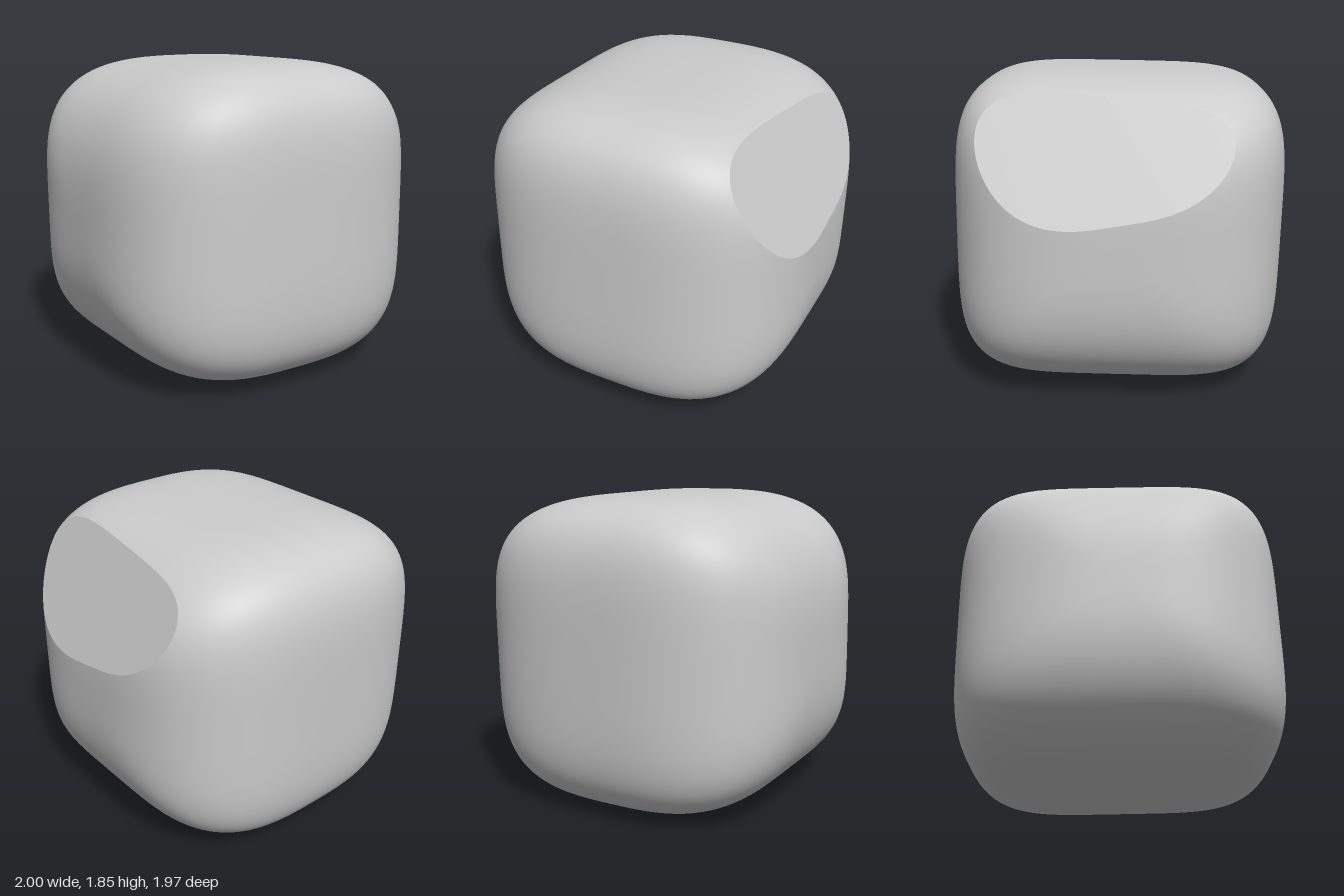
import * as THREE from 'three';

const SIZE = { x: 1, y: 0.92, z: 0.98 };   // half extents of the soft block
const ROUND_X = 3, ROUND_YZ = 4.7;         // superellipsoid exponents
const CENTRE_Y = 0.925;
const AROUND = 192, RINGS = 120;

// slight lean of the block
const untilt = new THREE.Quaternion().setFromEuler(new THREE.Euler(-0.018, 0, -0.006)).invert();

// flat cut across the upper left edge; all points are swept around its normal
const cutNormal = new THREE.Vector3(1, 0.5, 0.075);
const cutDistance = (1.55 - 0.5 * CENTRE_Y) / cutNormal.length();
const toCut = new THREE.Quaternion().setFromUnitVectors(
  new THREE.Vector3(0, 0, 1), cutNormal.clone().normalize());

// surface point of the rounded block, in the frame of the cut
function surfacePoint(theta, phi) {
  const dir = new THREE.Vector3().setFromSphericalCoords(1, theta, phi);
  dir.set(dir.z, dir.x, dir.y);
  const q = dir.clone().applyQuaternion(toCut).applyQuaternion(untilt);
  const yz = Math.abs(q.y / SIZE.y) ** ROUND_YZ + Math.abs(q.z / SIZE.z) ** ROUND_YZ;
  const sum = Math.abs(q.x / SIZE.x) ** ROUND_X + yz ** (ROUND_X / ROUND_YZ);
  return dir.multiplyScalar(sum ** (-1 / ROUND_X));
}

// angle from the cut normal at which the surface meets the cut
function rimAngle(phi) {
  let lo = 0, hi = Math.PI / 2;
  for (let i = 0; i < 40; i++) {
    const mid = (lo + hi) / 2;
    if (surfacePoint(mid, phi).z > cutDistance) lo = mid; else hi = mid;
  }
  return hi;
}

export function createModel() {
  const group = new THREE.Group();
  group.name = 'cutRoundedBlock';
  const material = new THREE.MeshStandardMaterial({ color: 0xcccccc });

  const rims = Array.from({ length: AROUND }, (_, j) => rimAngle((j / AROUND) * Math.PI * 2));

  // rings from the rim of the cut to the opposite pole
  const positions = [], index = [];
  for (let i = 0; i <= RINGS; i++) {
    for (let j = 0; j < AROUND; j++) {
      const theta = THREE.MathUtils.lerp(rims[j], Math.PI, i / RINGS);
      const p = surfacePoint(theta, (j / AROUND) * Math.PI * 2);
      positions.push(...p.applyQuaternion(toCut).toArray());
      if (i === RINGS) continue;
      const k = (j + 1) % AROUND;
      const a = i * AROUND + j, d = i * AROUND + k;
      const b = a + AROUND, c = d + AROUND;
      index.push(a, b, c);
      if (i < RINGS) index.push(a, c, d);
    }
  }
  const bodyGeometry = new THREE.BufferGeometry();
  bodyGeometry.setAttribute('position', new THREE.Float32BufferAttribute(positions, 3));
  bodyGeometry.setIndex(index);
  bodyGeometry.computeVertexNormals();
  const body = new THREE.Mesh(bodyGeometry, material);
  body.name = 'roundedBody';

  // flat face closing the cut
  const outline = rims.map((theta, j) => {
    const p = surfacePoint(theta, (j / AROUND) * Math.PI * 2);
    return new THREE.Vector2(p.x, p.y);
  });
  const faceGeometry = new THREE.ShapeGeometry(new THREE.Shape(outline));
  faceGeometry.translate(0, 0, cutDistance).applyQuaternion(toCut);
  const face = new THREE.Mesh(faceGeometry, material);
  face.name = 'flatCutFace';

  body.position.y = face.position.y = CENTRE_Y;
  group.add(body, face);
  return group;
}
